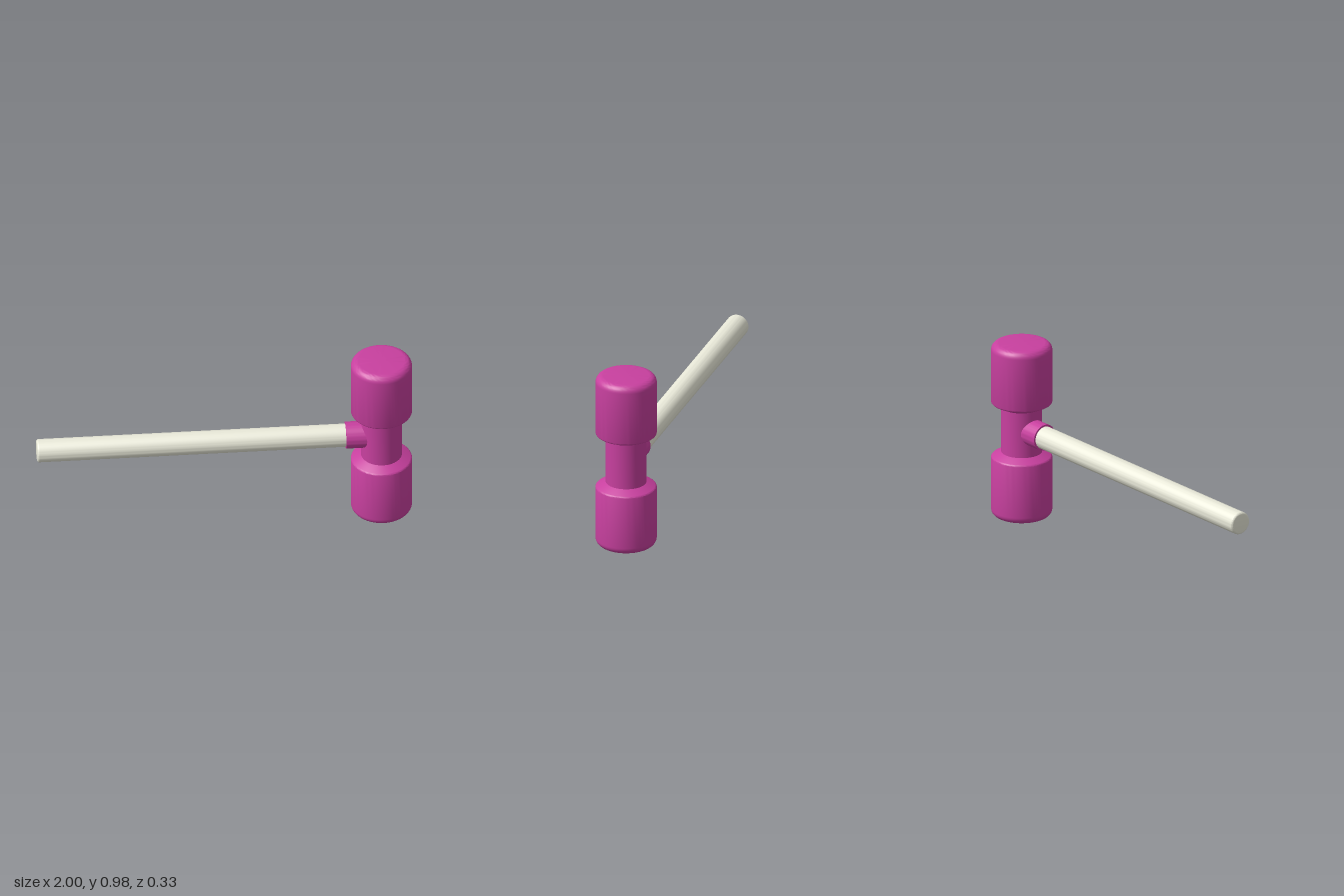
import * as THREE from 'three';
import { toCreasedNormals } from 'three/addons/utils/BufferGeometryUtils.js';

const HEAD_X = 0.837, MID_Y = 0.49;

// Points of a rounded corner in (radius, height), from angle a0 to a1
function arc(cx, cy, r, a0, a1, steps = 8) {
  return Array.from({ length: steps + 1 }, (_, i) => {
    const a = a0 + (a1 - a0) * i / steps;
    return [cx + r * Math.cos(a), cy + r * Math.sin(a)];
  });
}

function turned(name, profile, color) {
  const points = profile.map(([r, y]) => new THREE.Vector2(r, y));
  const geometry = toCreasedNormals(new THREE.LatheGeometry(points, 64), 0.5);
  const mesh = new THREE.Mesh(geometry, new THREE.MeshStandardMaterial({ color }));
  mesh.name = name;
  return mesh;
}

export function createModel() {
  const model = new THREE.Group();
  model.name = 'mallet';
  const pink = 0xc8409f, cream = 0xe9e9d9;
  const Q = Math.PI / 2;

  // Head: upper half profile, mirrored about the middle
  const upper = [
    [0.109, 0.127],
    [0.155, 0.149],
    ...arc(0.152, 0.160, 0.011, -Q * 0.7, 0, 5),
    ...arc(0.123, 0.449, 0.040, 0, Q),
    [0, 0.489],
  ];
  const lower = upper.map(([r, y]) => [r, -y]).reverse();
  const head = turned('head', [...lower, ...upper], pink);
  head.position.set(HEAD_X, MID_Y, 0);
  model.add(head);

  // Handle and its collar lie along x
  const handle = turned('handle', [
    [0, -1],
    ...arc(0.050, -0.988, 0.012, -Q, 0, 5),
    [0.062, 0.70],
    [0, 0.70],
  ], cream);
  const collar = turned('collar', [[0, 0.645], [0.072, 0.645], [0.072, 0.80], [0, 0.80]], pink);
  for (const part of [handle, collar]) {
    part.rotation.z = -Q;
    part.position.y = MID_Y + 0.005;
    model.add(part);
  }
  return model;
}
